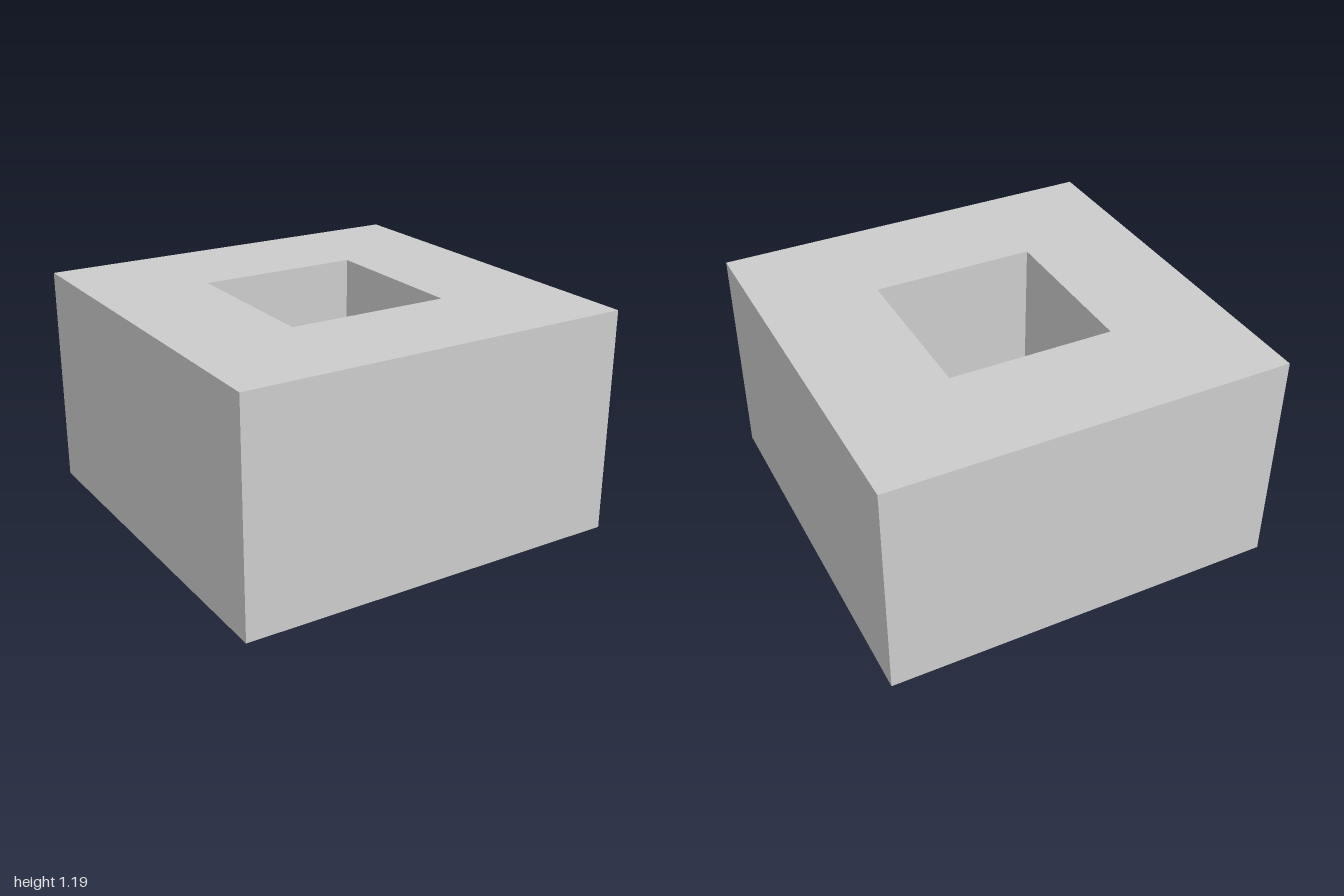
import * as THREE from 'three';

const material = new THREE.MeshStandardMaterial({ color: 0xcccccc, flatShading: true });

// Square outline centred on the origin
function square(Type, half) {
  const outline = new Type();
  outline.moveTo(-half, -half);
  outline.lineTo(half, -half);
  outline.lineTo(half, half);
  outline.lineTo(-half, half);
  outline.closePath();
  return outline;
}

// Square slab between two heights
function slab(name, half, bottom, top) {
  const mesh = new THREE.Mesh(new THREE.BoxGeometry(2 * half, top - bottom, 2 * half), material);
  mesh.position.y = (bottom + top) / 2;
  mesh.name = name;
  return mesh;
}

export function createModel() {
  const model = new THREE.Group();
  model.name = 'blockWithPlug';

  // Heavy block with a square shaft running down through it
  const bottom = 0.06, top = 1.19;
  const shape = square(THREE.Shape, 1);
  shape.holes.push(square(THREE.Path, 0.415));
  const geometry = new THREE.ExtrudeGeometry(shape, { depth: top - bottom, bevelEnabled: false });
  geometry.rotateX(-Math.PI / 2);
  const block = new THREE.Mesh(geometry, material);
  block.position.y = bottom;
  block.name = 'block';
  model.add(block);

  // Plug closing the shaft from below, with a wider flange under it
  model.add(slab('plug', 0.41, 0.035, 0.1));
  model.add(slab('plugFlange', 0.453, 0, 0.035));

  return model;
}
